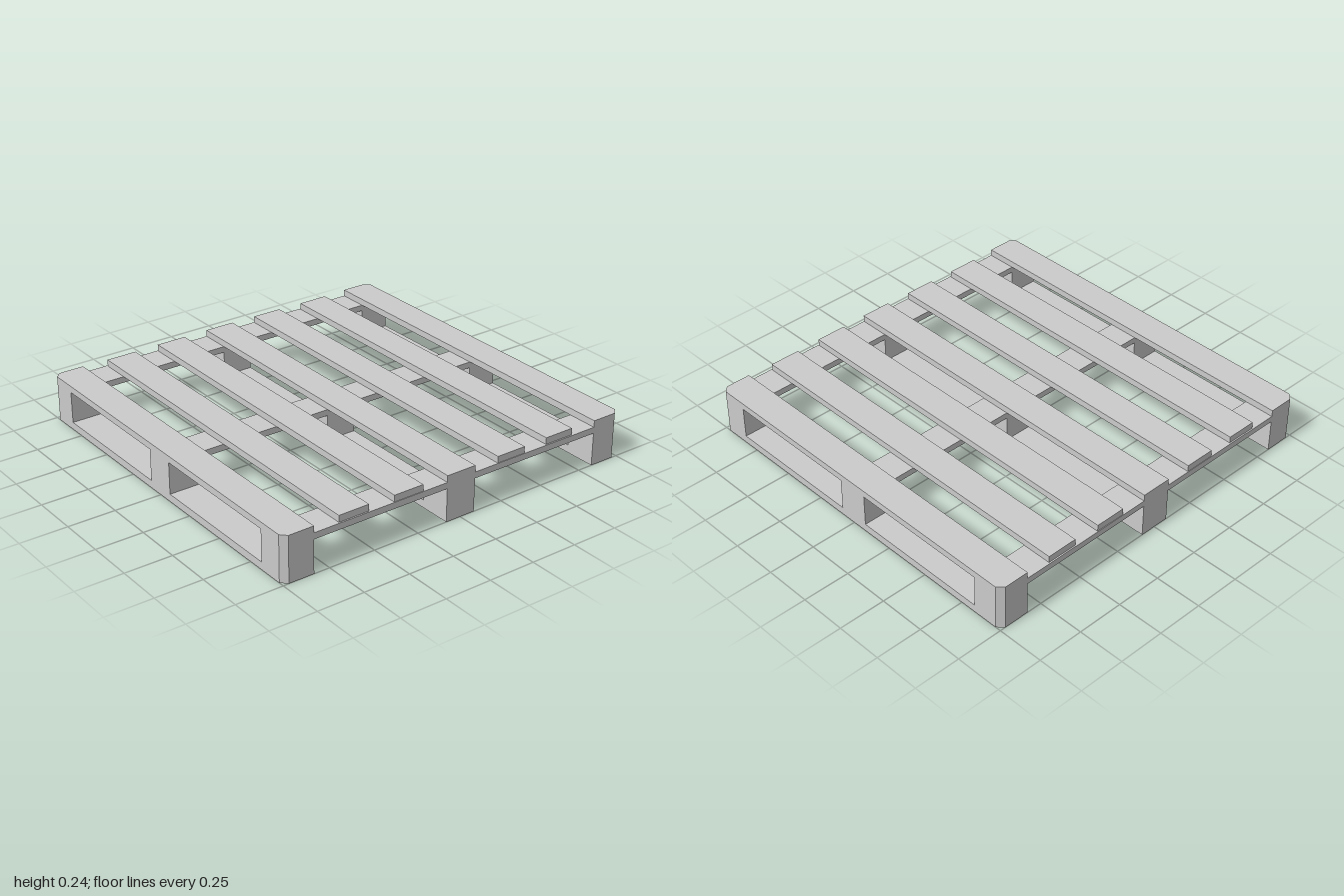
import * as THREE from 'three';

const HALF = 1, WIDTH = 0.166, CUT = 0.03;
const OUTER = HALF - WIDTH / 2;

export function createModel() {
  const group = new THREE.Group();
  const material = new THREE.MeshStandardMaterial({ color: 0xcccccc, flatShading: true });

  // A plank or block; any corner lying on the pallet's own corner is cut off.
  function timber(name, x, z, w, d, y0, y1) {
    const points = [];
    [[-1, -1], [1, -1], [1, 1], [-1, 1]].forEach(([sx, sz], i) => {
      const px = x + sx * w / 2, pz = z + sz * d / 2;
      const atCorner = Math.abs(px) > HALF - 0.01 && Math.abs(pz) > HALF - 0.01;
      if (!atCorner) {
        points.push(new THREE.Vector2(px, -pz));
        return;
      }
      const pair = [new THREE.Vector2(px, -(pz - sz * CUT)), new THREE.Vector2(px - sx * CUT, -pz)];
      points.push(...(i % 2 ? pair.reverse() : pair));
    });
    const geometry = new THREE.ExtrudeGeometry(new THREE.Shape(points), { depth: y1 - y0, bevelEnabled: false });
    geometry.rotateX(-Math.PI / 2);
    const mesh = new THREE.Mesh(geometry, material);
    mesh.name = name;
    mesh.position.y = y0;
    group.add(mesh);
  }

  const rows = [-OUTER, 0, OUTER];

  // Bottom runners, front to back, with three blocks on each
  for (const x of rows) {
    timber('bottomRunner', x, 0, WIDTH, 2, 0, 0.04);
    for (const z of rows) timber('spacerBlock', x, z, WIDTH, WIDTH, 0.04, 0.175);
  }

  // Cross boards, side to side
  for (const z of rows) timber('crossBoard', 0, z, 2, WIDTH, 0.175, 0.208);

  // Seven deck boards
  for (let i = -3; i <= 3; i++) {
    const length = Math.abs(i) === 2 ? 1.985 : Math.abs(i) === 1 ? 1.994 : 2;
    timber('deckBoard', i * OUTER / 3, 0, WIDTH, length, 0.208, 0.243);
  }

  return group;
}
